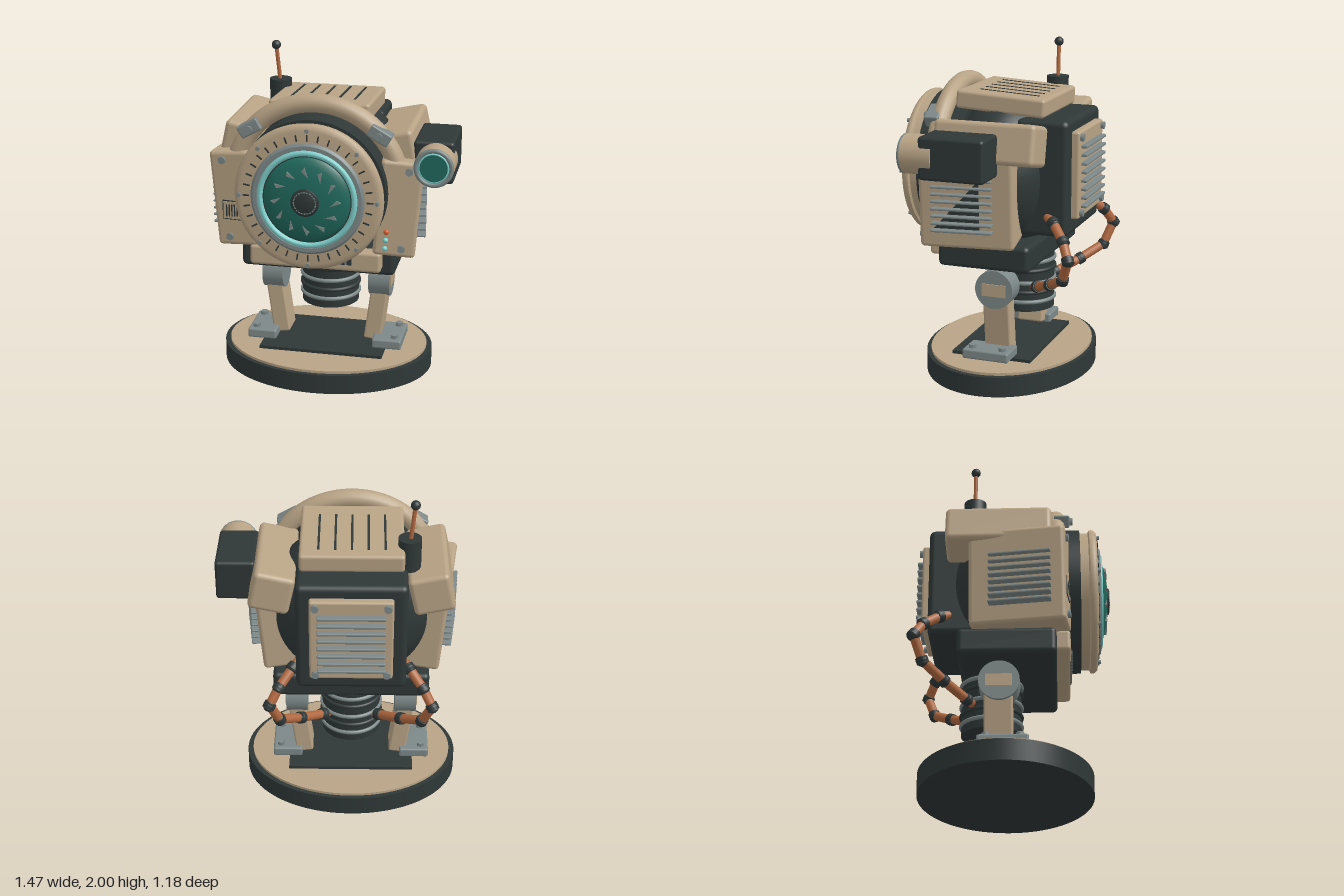
import * as THREE from 'three';
import { toCreasedNormals } from 'three/addons/utils/BufferGeometryUtils.js';
import { RoundedBoxGeometry } from 'three/addons/geometries/RoundedBoxGeometry.js';

const paint = (name, color) => {
  const m = new THREE.MeshStandardMaterial({ color });
  m.name = name;
  return m;
};

export function createModel() {
  const tan = paint('tan', 0xb8a385), dark = paint('charcoal', 0x2f3737), grey = paint('grey', 0x7d8888);
  const teal = paint('teal', 0x20695d), cyan = paint('cyan', 0x7fd0cc);
  const copper = paint('copper', 0xb0683f), orange = paint('orange', 0xd8602c);

  // Everything is laid out around the body's own centre line
  const model = new THREE.Group();
  model.name = 'robot';
  const body = new THREE.Group();
  body.name = 'body';
  body.position.x = -0.082;
  model.add(body);

  const add = (name, geo, mat, p = [0, 0, 0], r = [0, 0, 0], parent = body) => {
    const m = new THREE.Mesh(geo, mat);
    m.name = name;
    m.position.set(...p);
    m.rotation.set(...r);
    parent.add(m);
    return m;
  };
  const group = (name, p, r = [0, 0, 0]) => {
    const g = new THREE.Group();
    g.name = name;
    g.position.set(...p);
    g.rotation.set(...r);
    body.add(g);
    return g;
  };
  const box = (w, h, d, r = 0) => r ? new RoundedBoxGeometry(w, h, d, 3, r) : new THREE.BoxGeometry(w, h, d);
  const cyl = (r, h, n = 32, r2 = r) => new THREE.CylinderGeometry(r, r2, h, n);
  const cylZ = (r, h, n = 32) => cyl(r, h, n).rotateX(Math.PI / 2);
  const ball = r => new THREE.SphereGeometry(r, 20, 14);
  const torus = (R, r, arc = Math.PI * 2) => new THREE.TorusGeometry(R, r, 14, 72, arc);
  // Profile of [radius, z] points turned about the z axis
  const turned = pts => toCreasedNormals(
    new THREE.LatheGeometry(pts.map(p => new THREE.Vector2(...p)), 72).rotateX(Math.PI / 2), 0.6);
  // Cylinder running between two points
  const rod = (name, a, b, r, mat) => {
    const d = b.clone().sub(a);
    const m = add(name, cyl(r, d.length(), 16), mat, a.clone().add(b).multiplyScalar(0.5).toArray());
    m.quaternion.setFromUnitVectors(new THREE.Vector3(0, 1, 0), d.normalize());
  };

  // Oval base
  const oval = (name, r, h, y, mat) => add(name, cyl(r, h, 72), mat, [0, y, -0.045]).scale.z = 0.775;
  oval('base', 0.658, 0.122, 0.061, dark);
  oval('baseTop', 0.625, 0.018, 0.129, tan);
  add('basePlate', box(0.77, 0.02, 0.5), dark, [0, 0.147, -0.045]);

  // Ribbed neck
  add('neck', cyl(0.178, 0.4, 48), dark, [0, 0.58, -0.13]);
  [0.44, 0.5, 0.56, 0.635, 0.69].forEach((y, i) => {
    add('neckRing', torus(0.178, 0.013).rotateX(Math.PI / 2), i % 2 ? dark : grey, [0, y, -0.13]);
  });

  // Legs, feet and cables
  for (const s of [-1, 1]) {
    add('leg', box(0.105, 0.37, 0.165, 0.012), tan, [s * 0.313, 0.355, -0.075], [0, 0, -s * 0.13]);
    add('legJoint', cyl(0.118, 0.13, 40).rotateZ(Math.PI / 2), grey, [s * 0.335, 0.575, -0.07]);
    add('jointPlate', box(0.009, 0.075, 0.15), tan, [s * 0.402, 0.572, -0.072]);
    add('foot', box(0.182, 0.06, 0.29, 0.012), grey, [s * 0.396, 0.185, -0.045]);
    for (const z of [0.05, -0.14]) add('footBolt', cyl(0.024, 0.024, 6), grey, [s * 0.44, 0.225, z]);

    const path = [[0.3, 1.03, -0.37], [0.34, 1.005, -0.42], [0.42, 0.92, -0.505], [0.475, 0.825, -0.553],
      [0.42, 0.69, -0.505], [0.3, 0.615, -0.39], [0.17, 0.55, -0.265], [0.1, 0.53, -0.2]]
      .map(p => new THREE.Vector3(s * p[0], p[1], p[2]));
    path.forEach((p, i) => {
      if (!i) return;
      rod('cable', path[i - 1], p, 0.028, copper);
      if (i < 7) {
        const d = p.clone().sub(path[i - 1]).normalize().multiplyScalar(0.02);
        rod('cableCollar', p.clone().sub(d), p.clone().add(d), 0.036, dark);
        add('cableJoint', ball(0.037), dark, p.toArray());
      }
    });
  }

  // Core, lower chassis and chin
  add('core', new THREE.SphereGeometry(1, 48, 32), dark, [0, 1.235, -0.05]).scale.set(0.51, 0.49, 0.36);
  add('chassis', box(0.935, 0.16, 0.57, 0.03), dark, [0, 0.793, -0.025]);
  add('chin', box(0.79, 0.125, 0.1, 0.02), tan, [0, 0.82, 0.29]);
  add('chinSlot', box(0.45, 0.045, 0.012, 0.005), dark, [0, 0.823, 0.34]);
  for (let i = 0; i < 10; i++) add('chinSlat', box(0.012, 0.036, 0.012), grey, [-0.189 + i * 0.042, 0.823, 0.345]);

  // Side pods with cooling fins and shoulders
  for (const s of [-1, 1]) {
    const pod = group('sidePod', [s * 0.458, 1.16, 0.05], [0, s * 0.13, -s * 0.085]);
    add('podShell', box(0.25, 0.585, 0.56, 0.025), tan, [0, 0, 0], [0, 0, 0], pod);
    for (let i = 0; i < 8; i++) {
      const y = -0.175 + i * 0.043;
      add('fin', box(0.07, 0.014, 0.36, 0.005), grey, [s * (0.128 - 0.085 * y), y, 0.02], [0, 0, s * 0.085], pod);
    }
    for (const y of [-0.235, 0.24]) {
      add('podBolt', cylZ(0.024, 0.02, 6), grey, [s * 0.04, y, 0.287], [0, 0, 0], pod);
    }
    add('shoulder', box(0.24, 0.24, 0.62, 0.03), tan, [s * 0.458, 1.475, -0.07], [0, 0, s * 0.22]);

    if (s > 0) {
      // Vent backing and status lights
      const tri = new THREE.Shape([[-0.08, 0.13], [-0.08, -0.18], [0.2, -0.18]].map(p => new THREE.Vector2(...p)));
      add('ventBacking', new THREE.ExtrudeGeometry(tri, { depth: 0.008, bevelEnabled: false })
        .rotateY(-Math.PI / 2), dark, [0.131, 0, 0], [0, 0, 0], pod);
      [orange, cyan, cyan].forEach((m, i) =>
        add('statusLight', ball(0.016), m, [-0.055, -0.14 - i * 0.052, 0.281], [0, 0, 0], pod));
    } else {
      // Small speaker grille
      add('grilleFrame', box(0.122, 0.118, 0.01), dark, [-0.01, -0.07, 0.279], [0, 0, 0.085 * s], pod);
      add('grillePlate', box(0.11, 0.106, 0.014), tan, [-0.01, -0.07, 0.28], [0, 0, 0.085 * s], pod);
      for (let i = 0; i < 5; i++) {
        add('grilleSlot', box(0.008, 0.075, 0.016), dark, [-0.044 + i * 0.017, -0.07, 0.281], [0, 0, 0.085 * s], pod);
      }
    }
  }

  // Round face, turned in rings
  const face = group('face', [0, 1.257, 0]);
  const ring = (name, pts, mat) => add(name, turned(pts), mat, [0, 0, 0], [0, 0, 0], face);
  ring('faceCollar', [[0, 0.15], [0.437, 0.15], [0.437, 0.405], [0.3, 0.405]], dark);
  ring('faceRim', [[0.3, 0.4], [0.418, 0.4], [0.418, 0.455], [0.434, 0.462], [0.438, 0.475],
    [0.434, 0.49], [0.42, 0.504], [0.4, 0.508], [0.2, 0.508]], tan);
  ring('bezel', [[0.332, 0.505], [0.332, 0.516], [0.318, 0.528], [0.295, 0.528], [0.285, 0.505]], grey);
  ring('lensSeat', [[0.298, 0.505], [0.298, 0.52], [0, 0.52]], dark);
  add('glowRing', torus(0.276, 0.017), cyan, [0, 0, 0.522], [0, 0, 0], face);
  const domeZ = r => 0.515 + 0.06 * Math.sqrt(1 - (r / 0.255) ** 2);
  ring('lens', [0.255, 0.25, 0.235, 0.21, 0.17, 0.12, 0.06, 0].map(r => [r, domeZ(r)]), teal);
  ring('hub', [[0.082, 0.56], [0.082, 0.578], [0.076, 0.582], [0, 0.582]], dark);
  // Place a copy of a part at each step around the face
  const around = (n, name, geo, mat, r, z, twist = 0) => {
    for (let i = 0; i < n; i++) {
      const a = Math.PI / 2 + i / n * Math.PI * 2;
      add(name, geo, mat, [r * Math.cos(a), r * Math.sin(a), z], [0, 0, a + twist], face);
    }
  };
  around(36, 'dialMark', box(0.038, 0.008, 0.009), dark, 0.362, 0.51);
  around(8, 'rimBolt', cylZ(0.012, 0.022, 12), grey, 0.403, 0.512);
  around(24, 'hubMark', box(0.006, 0.011, 0.004), grey, 0.064, 0.583);
  const blade = new THREE.Shape([[-0.034, -0.004], [0.034, -0.012], [0.022, 0.012]].map(p => new THREE.Vector2(...p)));
  around(12, 'lensBlade', new THREE.ExtrudeGeometry(blade, { depth: 0.02, bevelEnabled: false }),
    grey, 0.168, 0.545, 0.5);

  // Arched handle and its clamps
  const arc = Math.PI * 0.84, start = (Math.PI - arc) / 2;
  add('handle', torus(0.5, 0.056, arc).rotateZ(start), tan, [0, 1.257, 0.265]);
  for (const a of [start, Math.PI - start]) {
    add('handleEnd', ball(0.056), tan, [0.5 * Math.cos(a), 1.257 + 0.5 * Math.sin(a), 0.265]);
  }
  for (const s of [-1, 1]) {
    const clamp = group('clamp', [s * 0.382, 1.602, 0.3], [0, 0, -s * 0.52]);
    add('clampBlock', box(0.135, 0.075, 0.09, 0.01), grey, [0, 0, 0], [0, 0, 0], clamp);
    add('clampBolt', cylZ(0.022, 0.03, 6), grey, [0, 0, 0.05], [0, 0, 0], clamp);
  }

  // Slotted roof
  const roof = group('roof', [0, 1.675, -0.07], [-0.06 * -1 * -1, 0, 0]);
  add('roofPanel', box(0.6, 0.11, 0.55, 0.02), tan, [0, 0, 0], [0, 0, 0], roof);
  for (let i = -2; i <= 2; i++) add('roofSlot', box(0.013, 0.009, 0.37), dark, [i * 0.095, 0.053, -0.02], [0, 0, 0], roof);

  // Back box with louvred panel
  add('backBox', box(0.64, 0.69, 0.32, 0.035), dark, [0, 1.255, -0.335]);
  add('backPanel', box(0.48, 0.52, 0.06, 0.015), tan, [0, 1.27, -0.51]);
  for (let i = 0; i < 8; i++) add('louvre', box(0.39, 0.018, 0.05, 0.006), grey, [0, 1.08 + i * 0.051, -0.55]);
  for (const x of [-0.205, 0.205]) for (const y of [1.045, 1.495]) {
    add('backBolt', cylZ(0.022, 0.03, 16), grey, [x, y, -0.545]);
  }

  // Side sensor on the left
  add('sensorBox', box(0.235, 0.25, 0.395, 0.02), dark, [0.68, 1.43, 0.038]);
  const sensor = group('sensor', [0.697, 1.435, 0]);
  const part = (name, geo, mat, z) => add(name, geo, mat, [0, 0, z], [0, 0, 0], sensor);
  part('sensorBarrel', cylZ(0.115, 0.19, 40), tan, 0.25);
  part('sensorRim', torus(0.102, 0.014), grey, 0.347);
  part('sensorSeat', cylZ(0.1, 0.02, 40), dark, 0.34);
  part('sensorRing', torus(0.083, 0.006), cyan, 0.35);
  part('sensorLens', cylZ(0.08, 0.02, 40), teal, 0.345);

  // Antenna
  const foot = new THREE.Vector3(-0.332, 1.75, -0.22), tip = new THREE.Vector3(-0.353, 1.972, -0.217);
  add('antennaBase', cyl(0.067, 0.19, 32), dark, [-0.328, 1.67, -0.22]);
  rod('antennaRod', foot, tip, 0.012, copper);
  add('antennaTip', ball(0.028), dark, tip.toArray());

  return model;
}
